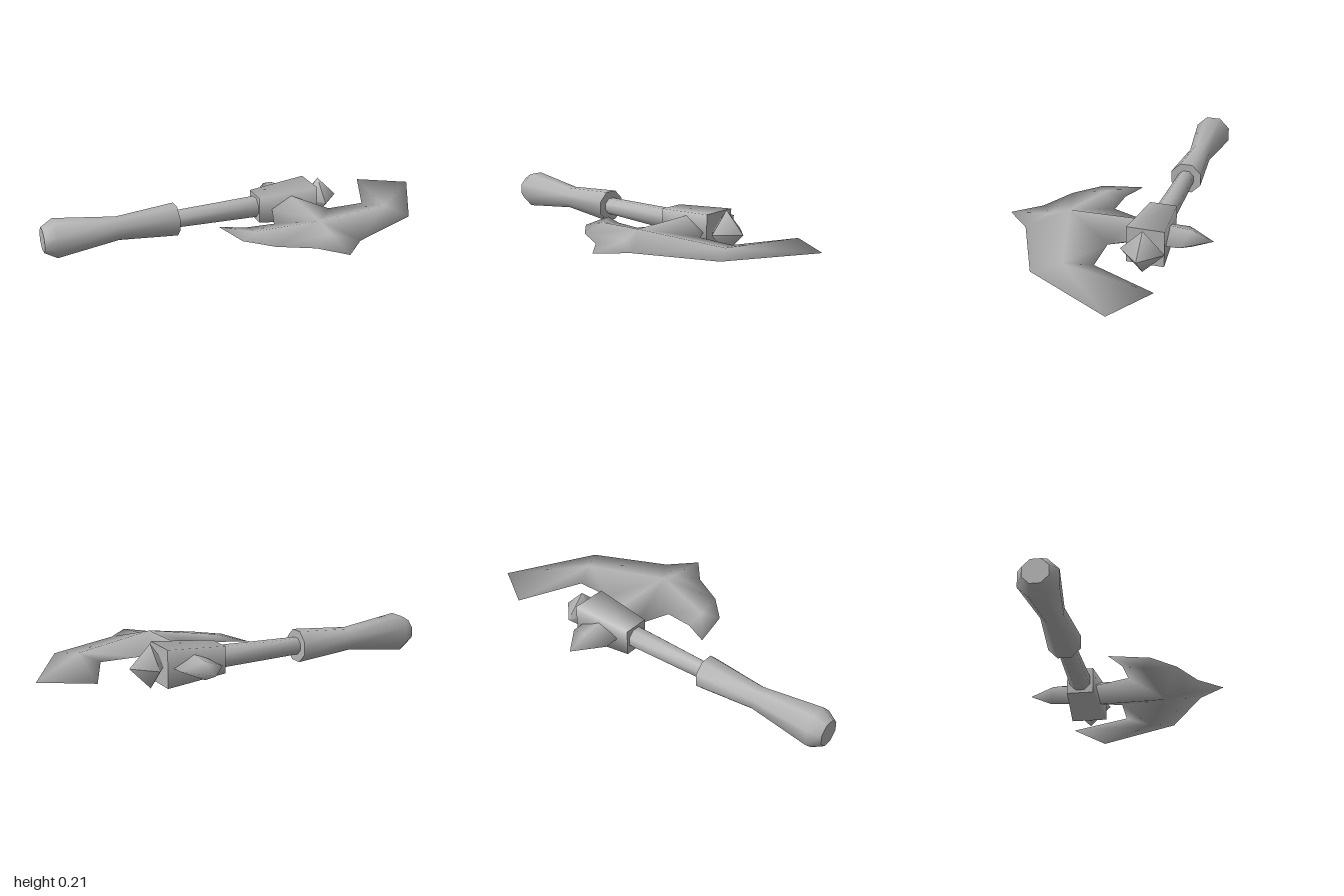
import * as THREE from 'three';
import { toCreasedNormals, mergeVertices } from 'three/addons/utils/BufferGeometryUtils.js';

const AXIS_Y = 0.108, AXIS_Z = -0.215;

export function createModel() {
  const group = new THREE.Group();
  const steel = new THREE.MeshStandardMaterial({ color: 0xb4b4b4 });
  steel.name = 'grey steel';

  function add(name, geometry, z = AXIS_Z) {
    const mesh = new THREE.Mesh(geometry, steel);
    mesh.name = name;
    mesh.position.set(0, AXIS_Y, z);
    group.add(mesh);
  }

  // Polygonal bar turned about the haft axis; profile is [x, half width]
  function turned(profile, sides, flatsUp, crease) {
    const k = flatsUp ? 1 / Math.cos(Math.PI / sides) : 1;
    const points = profile.map(([x, r]) => new THREE.Vector2(r * k, x));
    const geo = new THREE.LatheGeometry(points, sides, flatsUp ? Math.PI / sides : 0);
    geo.rotateZ(-Math.PI / 2);
    return toCreasedNormals(geo, crease);
  }

  // Haft
  add('grip', turned([[-1, 0], [-1, 0.058], [-0.94, 0.09], [-0.63, 0.054], [-0.33, 0.077], [-0.33, 0]], 8, true, 1.0));
  add('shaft', turned([[-0.34, 0.04], [0.12, 0.051]], 8, true, 1.0));

  // Square collar, widening toward the end
  const collar = new THREE.CylinderGeometry(0.091 * Math.SQRT2, 0.066 * Math.SQRT2, 0.31, 4);
  collar.rotateY(Math.PI / 4).rotateZ(-Math.PI / 2).translate(0.255, 0, 0);
  add('collar', collar);

  // Four-sided end point
  add('endSpike', turned([[0.4, 0], [0.4, 0.03], [0.455, 0.106], [0.56, 0]], 4, false, 1.65));

  // Blade, neck and back spike: [x, z, half thickness]
  const pts = [
    [0.27, -0.503, 0], [0.16, -0.365, 0], [0.375, -0.365, 0], [0.27, -0.4, 0.044],      // back spike
    [0.165, -0.14, 0], [0.385, -0.13, 0], [0.27, -0.13, 0.062],                          // under collar
    [0.1, 0.03, 0], [0.44, -0.045, 0], [0.27, 0.2, 0.055],                               // neck foot, ridge
    [-0.04, 0.02, 0], [-0.165, -0.035, 0], [-0.12, 0.165, 0], [0, 0.285, 0],             // short wing
    [0.17, 0.375, 0], [0.28, 0.5, 0], [0.4, 0.375, 0],                                   // front point
    [0.765, 0.205, 0], [1, -0.22, 0], [0.77, -0.36, 0], [0.63, -0.045, 0],               // long wing
    [-0.04, 0.12, 0.018], [0.69, 0.08, 0.022], [0.28, 0.3, 0.024],                       // ridges
  ];
  const tris = [
    [0, 1, 3], [0, 3, 2], [1, 4, 6], [1, 6, 3], [3, 6, 5], [3, 5, 2],
    [4, 7, 9], [4, 9, 6], [6, 9, 8], [6, 8, 5],
    [7, 10, 21], [7, 21, 9], [10, 11, 21], [11, 12, 21], [12, 13, 21], [13, 9, 21],
    [13, 14, 23], [13, 23, 9], [14, 15, 23], [15, 16, 23], [16, 23, 9], [16, 9, 22],
    [16, 22, 17], [17, 18, 22], [18, 19, 22], [19, 20, 22], [20, 8, 22], [8, 9, 22],
  ];
  const positions = [];
  for (const side of [1, -1]) {
    for (const tri of tris) {
      const [a, b, c] = tri.map((i) => pts[i]);
      // Wind every face outward on its side
      const up = (b[1] - a[1]) * (c[0] - a[0]) - (b[0] - a[0]) * (c[1] - a[1]);
      const order = up * side > 0 ? [a, b, c] : [a, c, b];
      for (const [x, z, h] of order) positions.push(x, h * side, z);
    }
  }
  let blade = new THREE.BufferGeometry();
  blade.setAttribute('position', new THREE.Float32BufferAttribute(positions, 3));
  blade = mergeVertices(blade);
  blade.computeVertexNormals();
  add('blade', blade, 0);

  return group;
}
